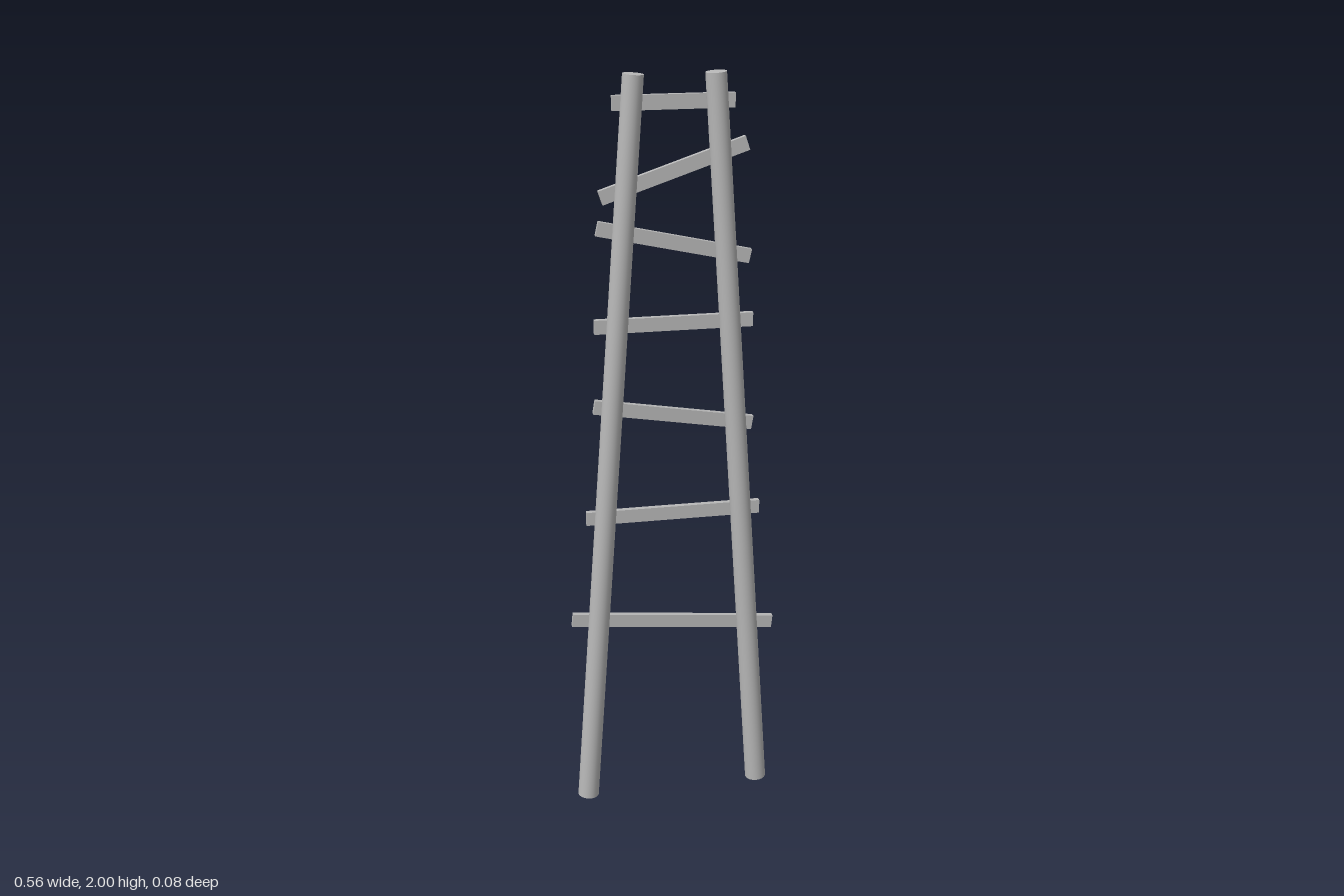
import * as THREE from 'three';

export function createModel() {
  const model = new THREE.Group();
  model.name = 'ladder';

  const wood = new THREE.MeshStandardMaterial({ color: 0xb8b8b8 });
  wood.name = 'greyWood';

  // Place a mesh midway between two points, its given local axis along the line
  function span(name, makeGeometry, axis, from, to) {
    const a = new THREE.Vector3(...from);
    const b = new THREE.Vector3(...to);
    const dir = b.clone().sub(a);
    const mesh = new THREE.Mesh(makeGeometry(dir.length()), wood);
    mesh.name = name;
    mesh.position.copy(a).add(b).multiplyScalar(0.5);
    mesh.quaternion.setFromUnitVectors(axis, dir.normalize());
    model.add(mesh);
  }

  // Two round poles, converging and leaning slightly forward at the top
  const pole = (length) => new THREE.CylinderGeometry(0.0265, 0.029, length, 24);
  const up = new THREE.Vector3(0, 1, 0);
  span('rightPole', pole, up, [-0.251, 0.001, -0.007], [-0.108, 1.999, 0.013]);
  span('leftPole', pole, up, [0.235, 0.001, -0.01], [0.097, 1.999, 0.009]);

  // Crooked flat rungs fixed behind the poles: x, y, z at each end
  const rungs = [
    [[-0.282, 0.54, -0.028], [0.278, 0.482, -0.033]],
    [[-0.238, 0.836, -0.028], [0.234, 0.836, -0.028]],
    [[-0.212, 1.148, -0.028], [0.212, 1.076, -0.035]],
    [[-0.209, 1.365, -0.021], [0.206, 1.365, -0.021]],
    [[-0.198, 1.619, -0.021], [0.196, 1.532, -0.021]],
    [[-0.188, 1.695, -0.021], [0.185, 1.82, -0.021]],
    [[-0.156, 1.926, -0.021], [0.152, 1.926, -0.021]],
  ];
  const rung = (length) => new THREE.BoxGeometry(length, 0.037, 0.015);
  const across = new THREE.Vector3(1, 0, 0);
  rungs.forEach(([from, to], i) => span(`rung${i + 1}`, rung, across, from, to));

  return model;
}
